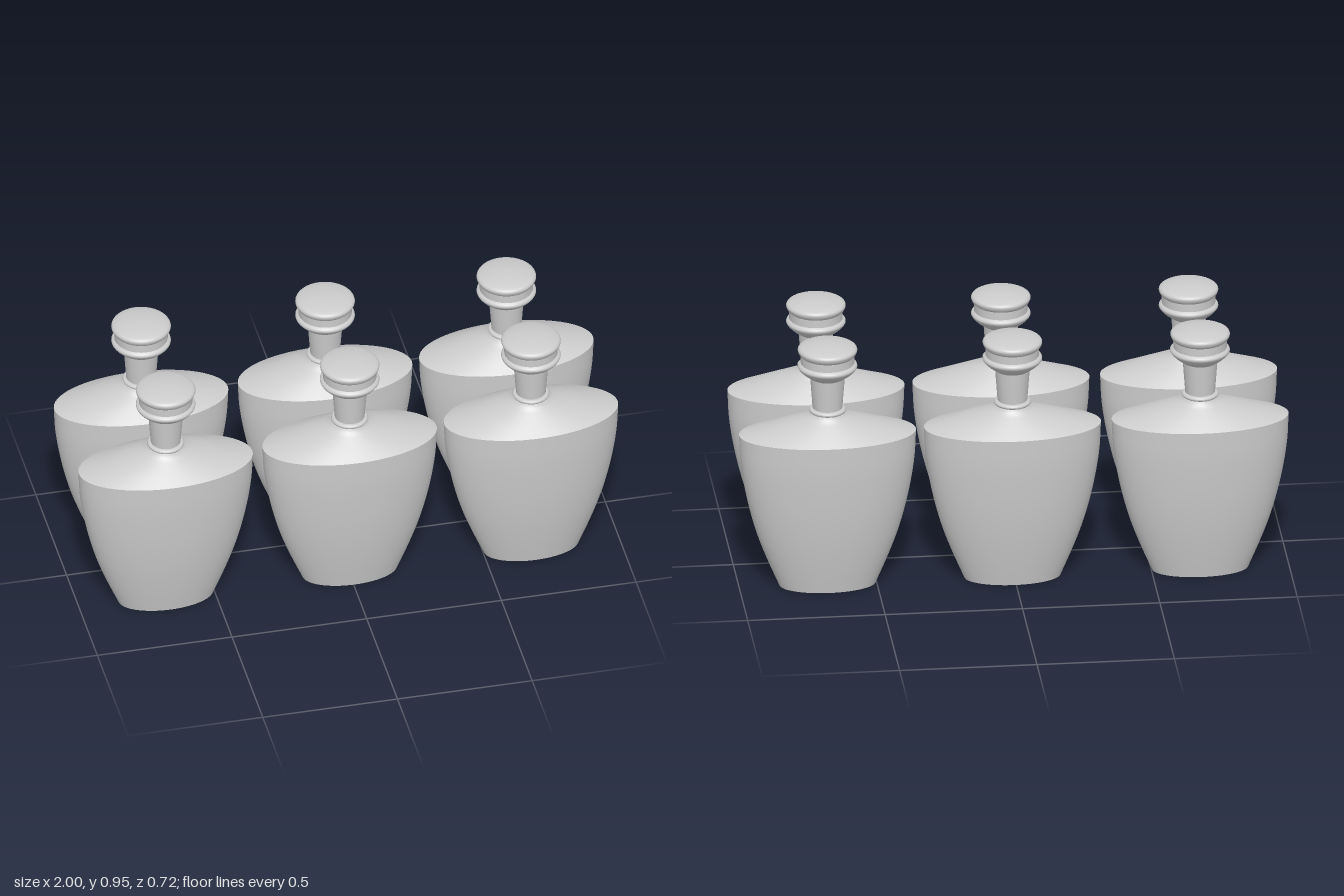
import * as THREE from 'three';
import { mergeVertices } from 'three/addons/utils/BufferGeometryUtils.js';

const material = new THREE.MeshStandardMaterial({ color: 0xcccccc, side: THREE.DoubleSide });
const SEGMENTS = 64;

// Lofts rows of [y, half width, half depth] into a smooth elliptical skin
function loft(name, rows, steps = 0) {
  let pts = rows.map(([y, rx, rz = rx]) => new THREE.Vector3(rx, y, rz));
  if (steps) pts = new THREE.CatmullRomCurve3(pts).getPoints(steps);
  let geo = new THREE.LatheGeometry(pts.map(p => new THREE.Vector2(p.z, p.y)), SEGMENTS);
  const pos = geo.attributes.position;
  for (let i = 0; i < pos.count; i++) {
    const p = pts[i % pts.length];
    if (p.z > 0) pos.setX(i, pos.getX(i) * p.x / p.z);
  }
  // weld the seam so the shading is continuous
  geo.deleteAttribute('uv');
  geo.deleteAttribute('normal');
  geo = mergeVertices(geo, 1e-5);
  geo.computeVertexNormals();
  const mesh = new THREE.Mesh(geo, material);
  mesh.name = name;
  return mesh;
}

function createBottle() {
  const bottle = new THREE.Group();

  // Oval body, tapering to the foot
  bottle.add(loft('body', [
    [0, 0.175, 0.088], [0.1, 0.217, 0.109], [0.2, 0.254, 0.127], [0.3, 0.282, 0.141],
    [0.4, 0.303, 0.151], [0.5, 0.317, 0.158], [0.6, 0.322, 0.161],
  ], 24));
  const base = new THREE.Mesh(new THREE.CircleGeometry(1, SEGMENTS), material);
  base.name = 'base';
  base.rotation.x = Math.PI / 2;
  base.scale.set(0.175, 0.088, 1);
  bottle.add(base);

  // Shoulder, changing from oval to round
  bottle.add(loft('shoulder', [
    [0.6, 0.322, 0.161], [0.618, 0.254, 0.138], [0.636, 0.19, 0.114], [0.652, 0.13, 0.092],
    [0.664, 0.092, 0.076], [0.674, 0.072, 0.067], [0.683, 0.062, 0.062],
  ], 24));

  // Rolled collar and flared neck
  bottle.add(loft('collar', [
    [0.682, 0.061], [0.685, 0.065], [0.69, 0.067], [0.695, 0.065], [0.698, 0.06], [0.699, 0.053],
  ], 12));
  bottle.add(loft('neck', [[0.697, 0.054], [0.82, 0.063]]));

  // Stopper: flared lower rim, straight groove, rounded cap
  bottle.add(loft('stopperRim', [
    [0.818, 0.062], [0.826, 0.073], [0.838, 0.089], [0.847, 0.098], [0.854, 0.104],
    [0.862, 0.108], [0.869, 0.106], [0.874, 0.1], [0.876, 0.097],
  ], 24));
  bottle.add(loft('stopperGroove', [[0.876, 0.097], [0.906, 0.097]]));
  bottle.add(loft('stopperCap', [
    [0.906, 0.097], [0.911, 0.102], [0.918, 0.106], [0.926, 0.108], [0.933, 0.105],
    [0.938, 0.097], [0.943, 0.08], [0.948, 0.053], [0.951, 0.025], [0.952, 0],
  ], 30));
  return bottle;
}

export function createModel() {
  const model = new THREE.Group();
  model.name = 'bottleSet';
  // Two rows of three bottles
  for (const z of [0.2, -0.2]) {
    for (const x of [-0.678, 0.005, 0.678]) {
      const bottle = createBottle();
      bottle.name = 'bottle';
      bottle.position.set(x, 0, z);
      model.add(bottle);
    }
  }
  return model;
}
